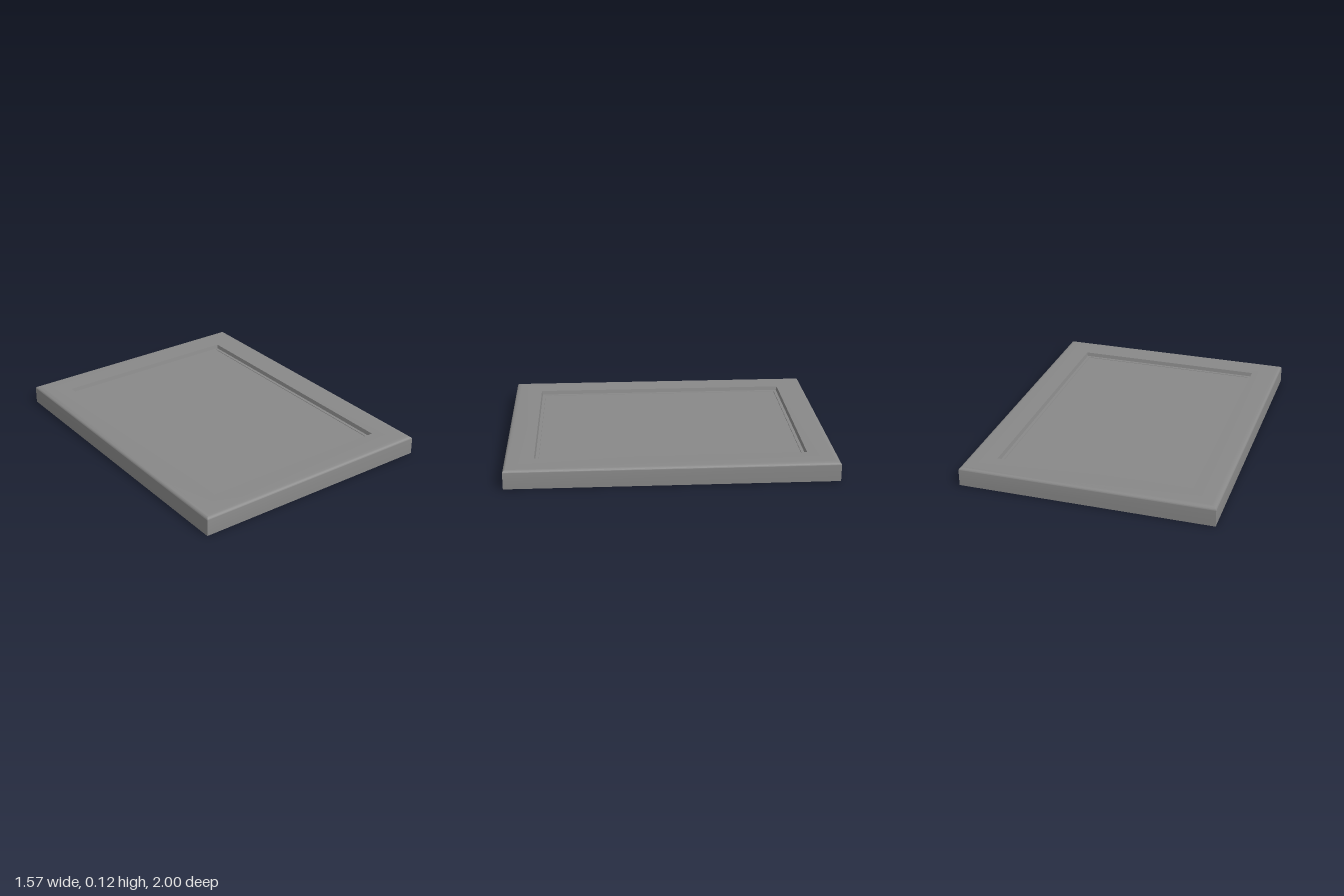
import * as THREE from 'three';
import { toCreasedNormals } from 'three/addons/utils/BufferGeometryUtils.js';

const HALF_W = 0.785, HALF_D = 1, HEIGHT = 0.12, PANEL_INSET = 0.203, PANEL_Y = 0.09;

// Sweep a profile of [inset, height] points around the rectangle with mitred corners
function mitredFrame(profile) {
  const corners = [[1, 1], [1, -1], [-1, -1], [-1, 1]];
  const positions = [];
  const point = ([inset, y], k) => {
    const [sx, sz] = corners[k % 4];
    return [sx * (HALF_W - inset), y, sz * (HALF_D - inset)];
  };
  for (let i = 0; i < profile.length - 1; i++) {
    for (let k = 0; k < 4; k++) {
      const a = point(profile[i], k), b = point(profile[i], k + 1);
      const c = point(profile[i + 1], k + 1), d = point(profile[i + 1], k);
      positions.push(...a, ...b, ...c, ...a, ...c, ...d);
    }
  }
  const geometry = new THREE.BufferGeometry();
  geometry.setAttribute('position', new THREE.Float32BufferAttribute(positions, 3));
  return toCreasedNormals(geometry, Math.PI / 6);
}

export function createModel() {
  const group = new THREE.Group();
  const material = new THREE.MeshStandardMaterial({ color: 0x888888 });
  const add = (name, geometry) => {
    const mesh = new THREE.Mesh(geometry, material);
    mesh.name = name;
    group.add(mesh);
  };

  // Outer wall and rounded outer edge
  const profile = [[0, 0]];
  const edgeW = 0.035, edgeH = 0.018, steps = 8;
  for (let i = 0; i <= steps; i++) {
    const t = (i / steps) * Math.PI / 2;
    profile.push([edgeW * (1 - Math.cos(t)), HEIGHT - edgeH * (1 - Math.sin(t))]);
  }
  // Rail, steep inner wall, narrow flat ledge and a fine step to the panel
  profile.push([0.177, 0.117], [0.183, 0.093], [PANEL_INSET - 0.001, 0.093], [PANEL_INSET, PANEL_Y]);
  add('frame', mitredFrame(profile));

  // Recessed centre panel
  const panel = new THREE.PlaneGeometry(2 * (HALF_W - PANEL_INSET), 2 * (HALF_D - PANEL_INSET));
  add('centerPanel', panel.rotateX(-Math.PI / 2).translate(0, PANEL_Y, 0));

  // Flat underside
  add('back', new THREE.PlaneGeometry(2 * HALF_W, 2 * HALF_D).rotateX(Math.PI / 2));

  return group;
}
